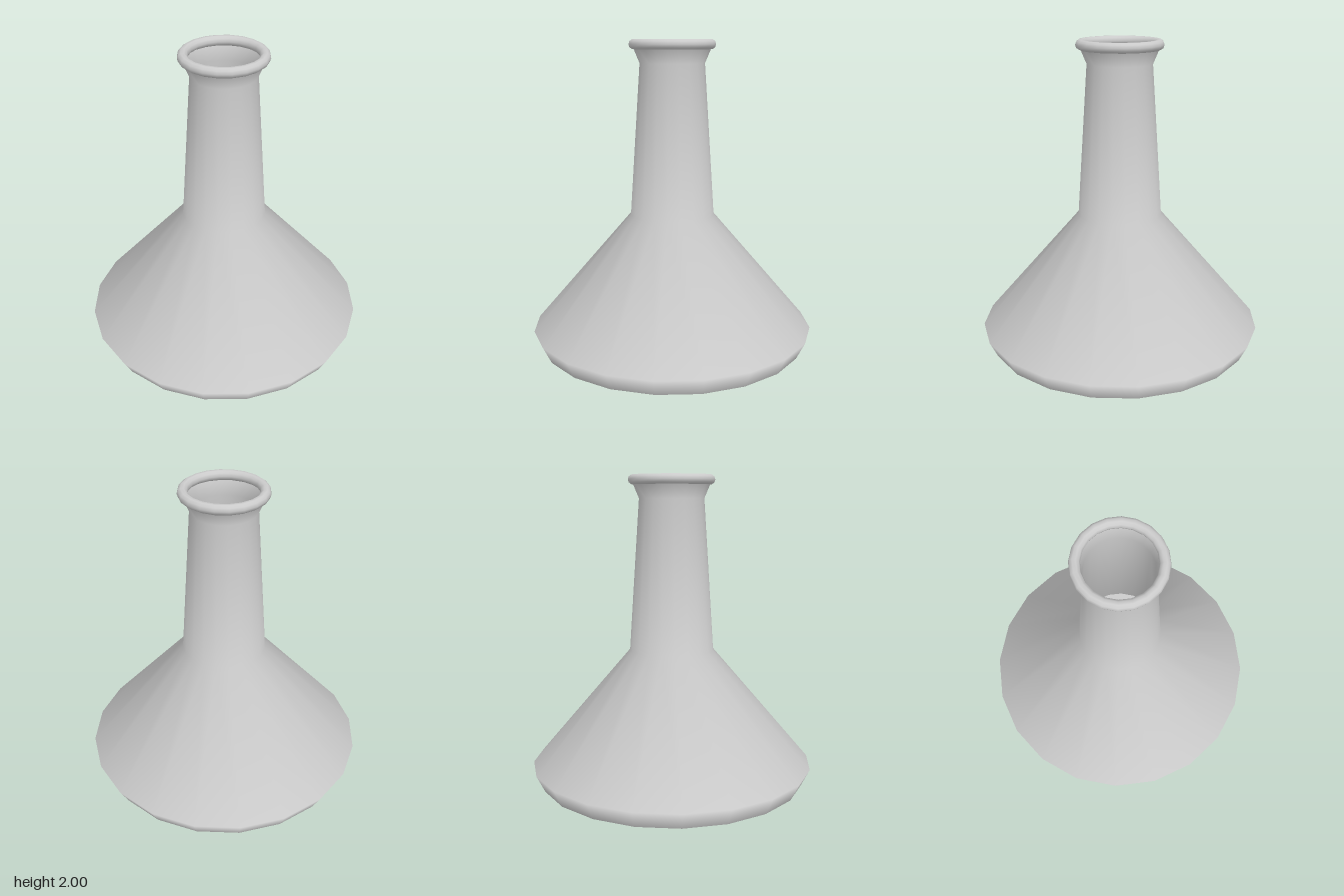
import * as THREE from 'three';

const SIDES = 20;

export function createModel() {
  const group = new THREE.Group();
  const material = new THREE.MeshStandardMaterial({ color: 0xcccccc, side: THREE.DoubleSide });
  const add = (name, geometry) => {
    const mesh = new THREE.Mesh(geometry, material);
    mesh.name = name;
    group.add(mesh);
    return mesh;
  };

  // Thin open shell: chamfered foot, conical body, tapering neck and flared mouth
  const profile = [
    [0.87, 0], [0.925, 0.11], [0.275, 0.87], [0.21, 1.85], [0.25, 1.945],
  ].map(([r, y]) => new THREE.Vector2(r, y));
  add('flaskBody', new THREE.LatheGeometry(profile, SIDES));

  // Flat floor, also seen from inside through the neck
  add('base', new THREE.CircleGeometry(0.87, SIDES).rotateX(Math.PI / 2));

  // Rounded lip around the mouth
  const lip = new THREE.TorusGeometry(0.247, 0.0325, 10, SIDES).rotateX(Math.PI / 2);
  add('lip', lip).position.y = 1.968;

  return group;
}
